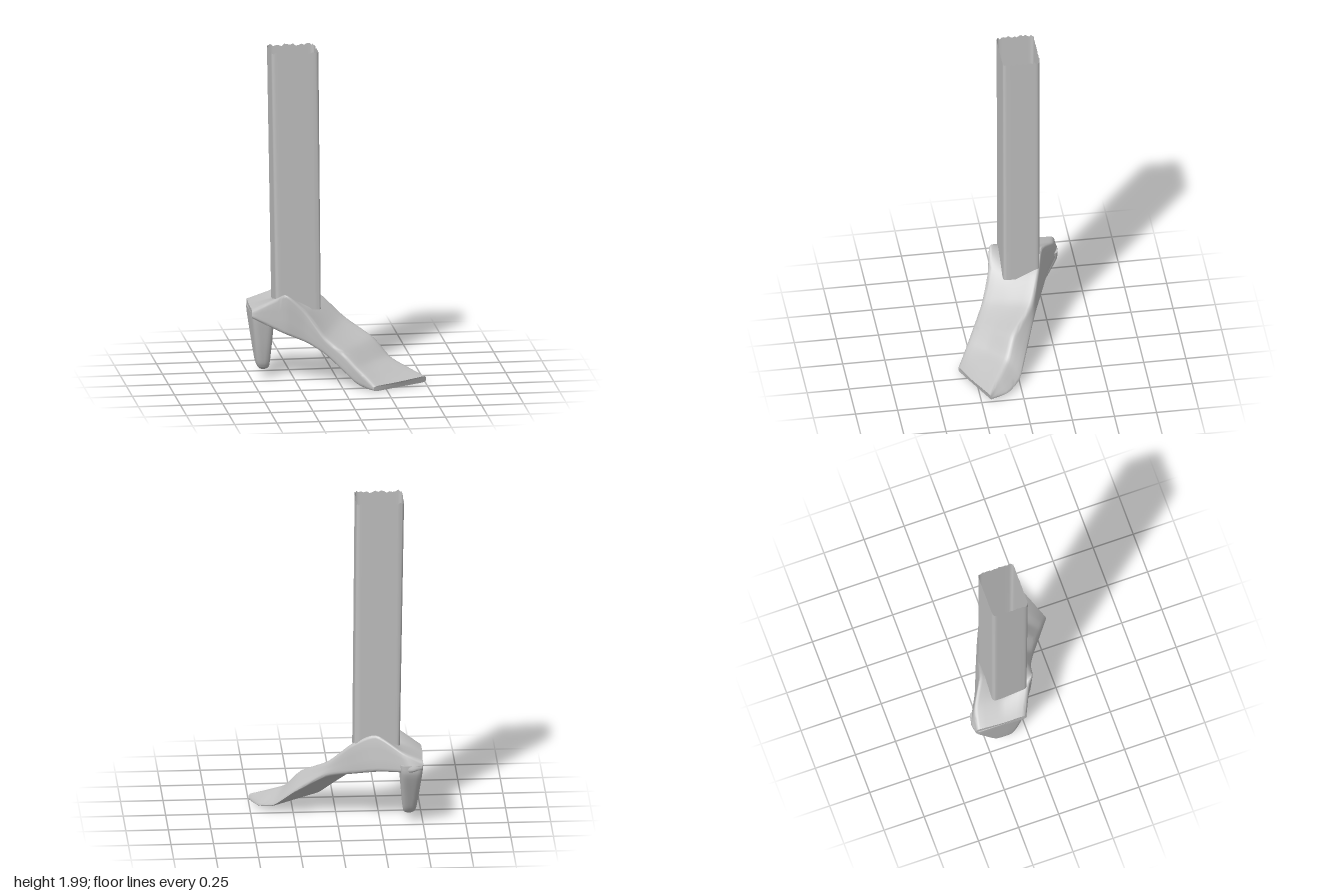
import * as THREE from 'three';
import { toCreasedNormals } from 'three/addons/utils/BufferGeometryUtils.js';

const V = (a) => new THREE.Vector3(...a);

// Rounds the corners of a closed loop and splits its straight edges.
function roundLoop(loop, radius, edgeSteps) {
  const out = [];
  const n = loop.length;
  const toward = (p, q) => p.clone().lerp(q, Math.min(0.4, radius / p.distanceTo(q)));
  loop.forEach((p, i) => {
    const next = loop[(i + 1) % n];
    const a = toward(p, loop[(i + n - 1) % n]);
    const c = toward(p, next);
    out.push(...new THREE.QuadraticBezierCurve3(a, p, c).getPoints(4));
    const end = toward(next, p);
    for (let k = 1; k < edgeSteps; k++) out.push(c.clone().lerp(end, k / edgeSteps));
  });
  return out;
}

// Interpolates smoothly between sections with equal point counts.
function smoothSections(sections, steps) {
  const tracks = sections[0].map((_, j) =>
    new THREE.CatmullRomCurve3(sections.map((s) => s[j]), false, 'catmullrom', 0.35));
  const count = (sections.length - 1) * steps;
  return Array.from({ length: count + 1 }, (_, i) => tracks.map((t) => t.getPoint(i / count)));
}

// Skins a list of closed rings, with optional end caps.
function loft(rings, capped) {
  const n = rings[0].length;
  const points = rings.flat();
  const index = [];
  for (let i = 0; i < rings.length - 1; i++) {
    for (let j = 0; j < n; j++) {
      const a = i * n + j, b = i * n + ((j + 1) % n);
      index.push(a, a + n, b + n, a, b + n, b);
    }
  }
  if (capped) {
    [0, rings.length - 1].forEach((r, end) => {
      const centre = new THREE.Vector3();
      rings[r].forEach((p) => centre.addScaledVector(p, 1 / n));
      const c = points.push(centre) - 1;
      for (let j = 0; j < n; j++) {
        const a = r * n + j, b = r * n + ((j + 1) % n);
        index.push(c, end ? b : a, end ? a : b);
      }
    });
  }
  const g = new THREE.BufferGeometry().setFromPoints(points);
  g.setIndex(index);
  return toCreasedNormals(g, 0.7);
}

// Horizontal rectangle as a loop.
const rect = (y, x0, x1, z0, z1) =>
  [[x1, y, z1], [x1, y, z0], [x0, y, z0], [x0, y, z1]].map(V);

export function createModel() {
  const group = new THREE.Group();
  const grey = new THREE.MeshStandardMaterial({ color: 0xc0c0c0, side: THREE.DoubleSide });
  grey.name = 'plain grey';
  const add = (name, geometry) => {
    const mesh = new THREE.Mesh(geometry, grey);
    mesh.name = name;
    group.add(mesh);
  };

  // Shoe, back to toe: near bottom, near rim, middle, far rim, far bottom
  const shoe = [
    [[-0.5, 0.38, -0.02], [-0.5, 0.43, -0.03], [-0.5, 0.43, -0.18], [-0.49, 0.43, -0.33], [-0.49, 0.37, -0.335]],
    [[-0.36, 0.315, 0.04], [-0.36, 0.515, 0.045], [-0.37, 0.47, -0.13], [-0.37, 0.48, -0.3], [-0.42, 0.36, -0.345]],
    [[-0.3, 0.29, 0.075], [-0.31, 0.545, 0.085], [-0.27, 0.47, -0.06], [-0.22, 0.56, -0.215], [-0.25, 0.34, -0.26]],
    [[-0.2, 0.25, 0.105], [-0.2, 0.44, 0.11], [-0.14, 0.455, -0.03], [-0.08, 0.49, -0.175], [-0.1, 0.31, -0.2]],
    [[-0.1, 0.19, 0.155], [-0.1, 0.3, 0.16], [-0.02, 0.33, 0.03], [0.06, 0.36, -0.11], [0.07, 0.27, -0.135]],
    [[0, 0.1, 0.22], [0, 0.215, 0.22], [0.1, 0.235, 0.12], [0.21, 0.262, 0.015], [0.25, 0.15, -0.062]],
    [[0.07, 0.035, 0.265], [0.07, 0.14, 0.27], [0.18, 0.145, 0.17], [0.3, 0.155, 0.07], [0.37, 0.05, -0.005]],
    [[0.12, 0.012, 0.3], [0.12, 0.09, 0.305], [0.25, 0.1, 0.22], [0.39, 0.105, 0.13], [0.46, 0.02, 0.08]],
    [[0.17, 0.004, 0.338], [0.17, 0.035, 0.34], [0.34, 0.045, 0.275], [0.5, 0.055, 0.2], [0.5, 0.015, 0.19]],
  ].map((s) => roundLoop(s.map(V), 0.025, 3));
  add('shoe', loft(smoothSections(shoe, 6), true));

  // Tapered heel, top to bottom
  const heel = [
    rect(0.4, -0.498, -0.36, -0.335, -0.03),
    rect(0.34, -0.492, -0.365, -0.33, -0.035),
    rect(0.2, -0.477, -0.375, -0.268, -0.055),
    rect(0.1, -0.465, -0.383, -0.222, -0.075),
    rect(0.065, -0.455, -0.388, -0.195, -0.09),
    rect(0.05, -0.44, -0.4, -0.165, -0.115),
  ].map((s) => roundLoop(s, 0.035, 3));
  add('heel', loft(smoothSections(heel, 4), true));

  // Hollow square leg with a ragged open top
  const top = roundLoop(rect(1.99, -0.392, -0.112, -0.19, 0.03), 0.022, 14);
  const bottom = roundLoop(rect(0.435, -0.367, -0.098, -0.185, 0.03), 0.022, 14);
  top.forEach((p, j) => { p.y += 0.006 * Math.sin(j * 2.3) + 0.004 * Math.sin(j * 0.9); });
  add('leg', loft([top, bottom], false));

  return group;
}
